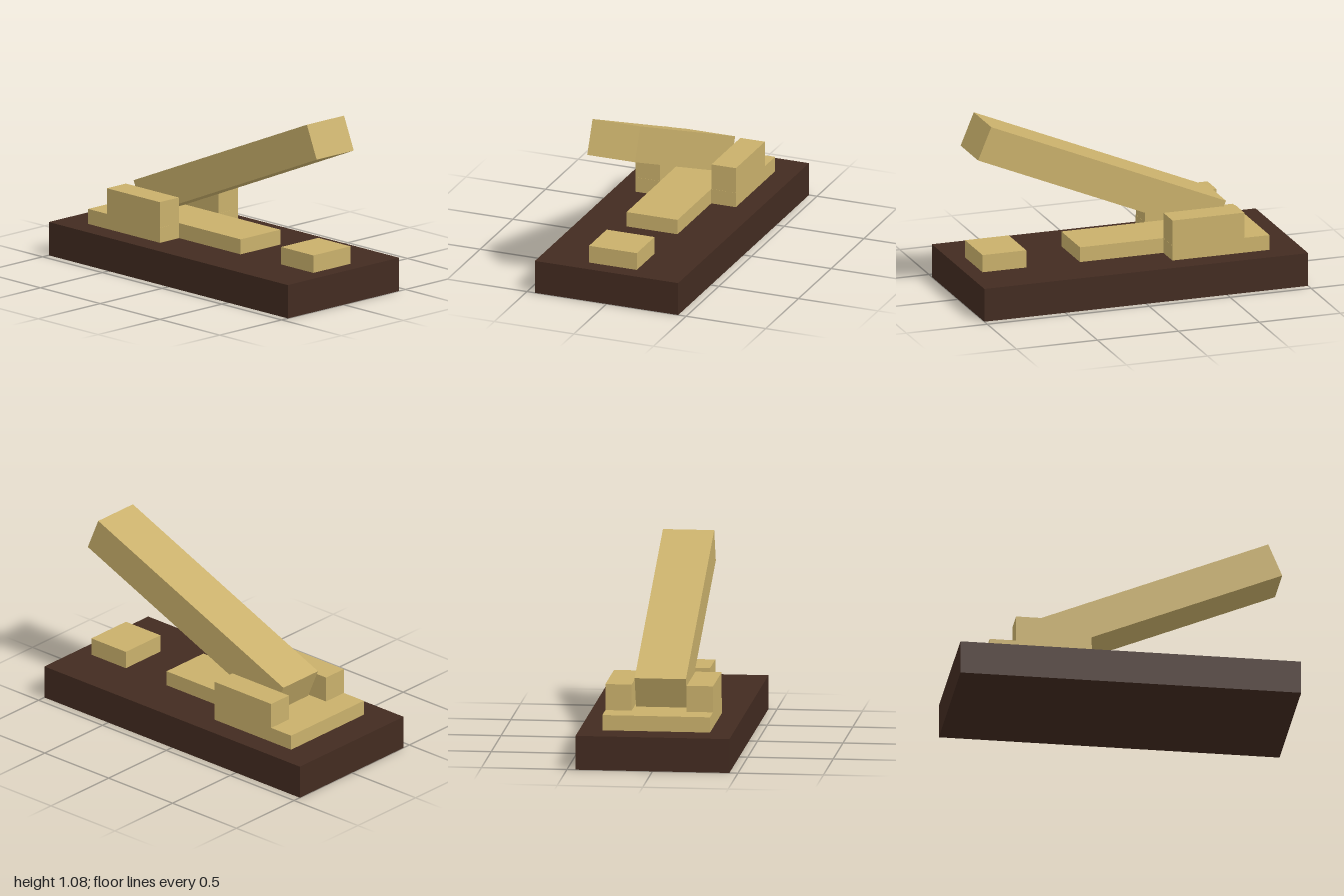
import * as THREE from 'three';

export function createModel() {
  const model = new THREE.Group();
  const wood = new THREE.MeshStandardMaterial({ color: 0x422b20 });
  const brass = new THREE.MeshStandardMaterial({ color: 0xc9b06b });

  // Box from its size and centre
  function block(name, size, centre, material) {
    const mesh = new THREE.Mesh(new THREE.BoxGeometry(...size), material);
    mesh.name = name;
    mesh.position.set(...centre);
    model.add(mesh);
    return mesh;
  }

  block('base', [0.9, 0.2, 2], [0, 0.1, 0], wood);
  block('frontContact', [0.3, 0.105, 0.27], [0, 0.2525, 0.768], brass);

  // T-shaped hinge plate, drawn in x and -z, then laid flat on the base
  const outline = [
    [-0.16, -0.305], [0.16, -0.305], [0.16, 0.21], [0.315, 0.21],
    [0.315, 0.81], [-0.315, 0.81], [-0.315, 0.21], [-0.16, 0.21],
  ].map(([x, y]) => new THREE.Vector2(x, y));
  const plate = new THREE.Mesh(
    new THREE.ExtrudeGeometry(new THREE.Shape(outline), { depth: 0.09, bevelEnabled: false }),
    brass
  );
  plate.name = 'hingePlate';
  plate.rotation.x = -Math.PI / 2;
  plate.position.y = 0.2;
  model.add(plate);

  // Cheeks either side of the lever
  for (const [name, side] of [['leftCheek', 1], ['rightCheek', -1]]) {
    block(name, [0.154, 0.243, 0.443], [side * 0.238, 0.3225, -0.4325], brass);
  }

  // Raised lever, tilted up towards the front
  const lever = block('lever', [0.3, 0.211, 1.572], [0, 0.679, 0.165], brass);
  lever.rotation.x = -Math.atan2(0.608, 1.45);

  return model;
}
